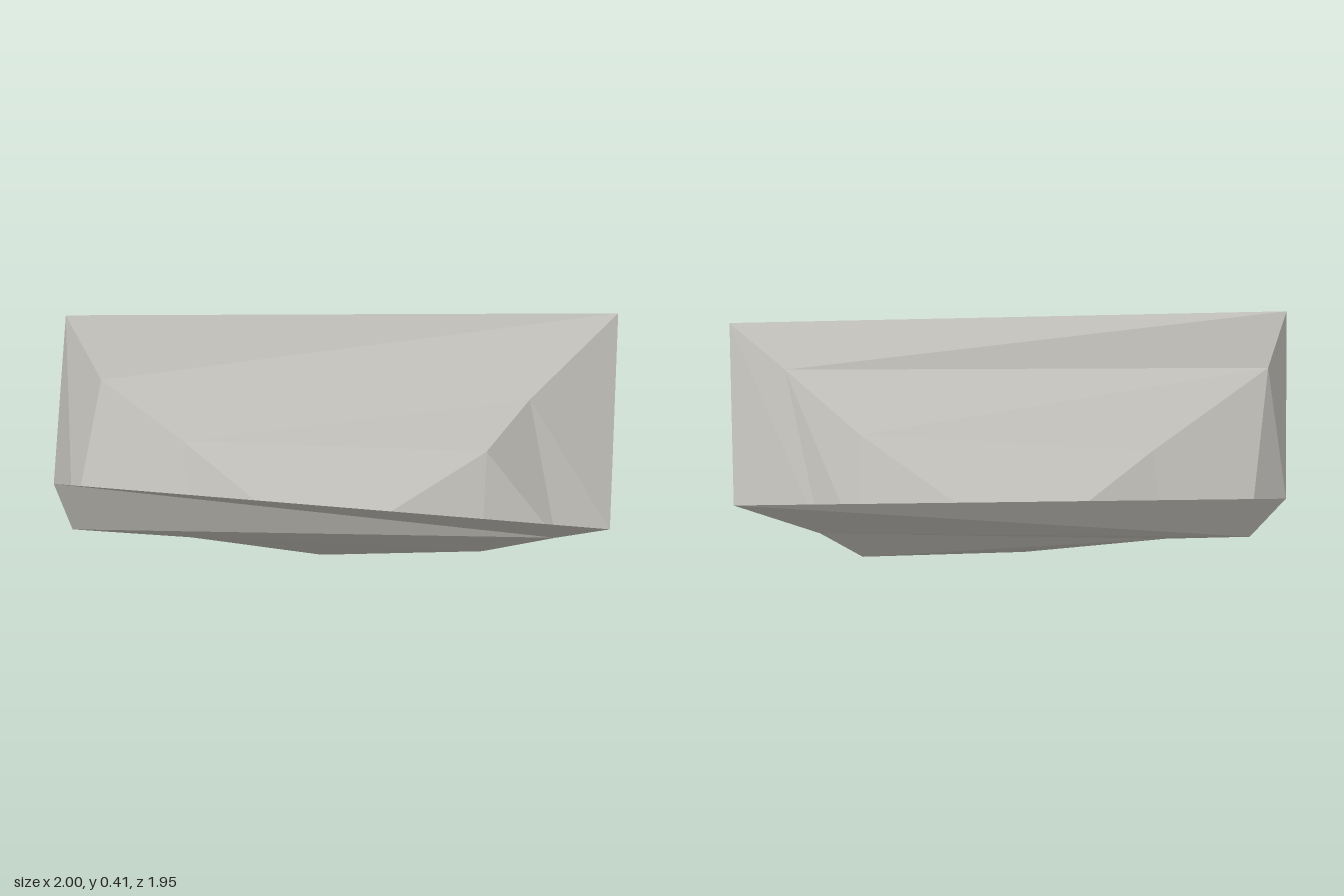
import * as THREE from 'three';

export function createModel() {
  const model = new THREE.Group();
  const stone = new THREE.MeshStandardMaterial({ color: 0xbdbbb5, side: THREE.DoubleSide, flatShading: true });
  stone.name = 'paleStone';

  const cx = -0.06, cz = 0.05; // lowest point of the bowl

  // One rib per corner: [position along its axis, height], from the rim inwards
  const left = [[1.0, 0.32], [0.8, 0.25], [0.53, 0.15]].map(([x, y]) => [x, y, cz]);
  const back = [[-0.975, 0.41], [-0.67, 0.25], [-0.52, 0.145]].map(([z, y]) => [cx, y, z]);
  const right = [[-1.0, 0.41], [-0.87, 0.27], [-0.57, 0.18]].map(([x, y]) => [x, y, cz]);
  const front = [[0.975, 0.395], [0.91, 0.26], [0.5, 0.147]].map(([z, y]) => [cx, y, z]);
  const ribs = [left, back, right, front];
  const names = ['backLeftSide', 'backRightSide', 'frontRightSide', 'frontLeftSide'];

  // Each side spans two neighbouring ribs and closes at the lowest point
  names.forEach((name, i) => {
    const a = ribs[i], b = ribs[(i + 1) % 4];
    const points = [];
    for (let k = 0; k < 2; k++) {
      points.push(a[k], b[k], b[k + 1], a[k], b[k + 1], a[k + 1]);
    }
    points.push(a[2], b[2], [cx, 0, cz]);

    const geometry = new THREE.BufferGeometry();
    geometry.setAttribute('position', new THREE.Float32BufferAttribute(points.flat(), 3));
    geometry.computeVertexNormals();
    const side = new THREE.Mesh(geometry, stone);
    side.name = name;
    model.add(side);
  });

  model.name = 'facetedBowl';
  return model;
}
